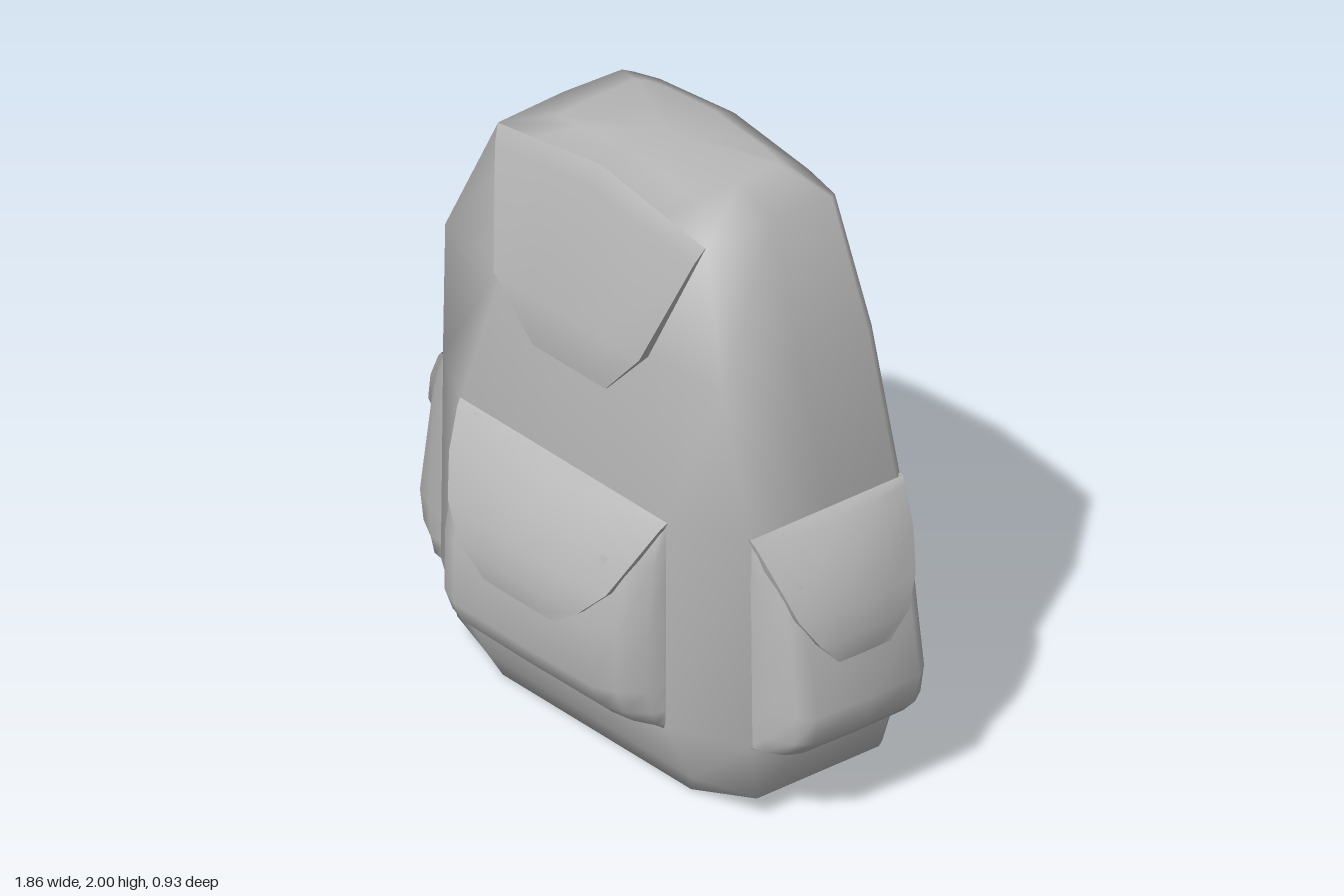
import * as THREE from 'three';

const fabric = new THREE.MeshStandardMaterial({ color: 0xb8b8b8, side: THREE.DoubleSide });
fabric.name = 'grey fabric';

// Smooth surface through rows of [x, y, z] points; rows run left to right, bottom to top
function surface(rows, { closed = false, caps = null } = {}) {
  const n = rows[0].length;
  const pos = rows.flat(2);
  const idx = [];
  for (let i = 0; i < rows.length - 1; i++) {
    for (let j = 0; j < (closed ? n : n - 1); j++) {
      const a = i * n + j, b = i * n + (j + 1) % n;
      idx.push(a, b, b + n, a, b + n, a + n);
    }
  }
  if (caps) {
    const low = rows.length * n, high = low + 1, last = (rows.length - 1) * n;
    pos.push(...caps[0], ...caps[1]);
    for (let j = 0; j < n; j++) {
      const k = (j + 1) % n;
      idx.push(low, k, j, high, last + j, last + k);
    }
  }
  const geo = new THREE.BufferGeometry();
  geo.setAttribute('position', new THREE.Float32BufferAttribute(pos, 3));
  geo.setIndex(idx);
  geo.computeVertexNormals();
  return geo;
}

function part(name, geo) {
  const mesh = new THREE.Mesh(geo, fabric);
  mesh.name = name;
  return mesh;
}

// Body: one half of a ring runs front centre -> side -> back centre
const mirrorRing = (half) => [
  ...half,
  ...half.slice(1, -1).reverse().map(([x, y, z]) => [-x, y, z]),
];

function ring(y, xf, zf, xs, zs, zb, inset) {
  return mirrorRing([
    [0, y, zf], [xf, y, zf], [xs, y, zs], [xs, y, (zs + zb) / 2],
    [xs, y, zb + 0.03], [xs - 0.02, y, zb], [xs - inset, y, zb], [0, y, zb],
  ]);
}

function body() {
  const rows = [
    ring(0, 0.44, 0.14, 0.48, 0.11, -0.4, 0.08),
    ring(0.07, 0.48, 0.17, 0.7, 0.1, -0.41, 0.16),
    ring(0.28, 0.48, 0.27, 0.73, 0.14, -0.46, 0.16),
    ring(1.0, 0.48, 0.27, 0.72, 0.14, -0.46, 0.16),
    ring(1.5, 0.34, 0.225, 0.65, 0.19, -0.41, 0.14),
    // arched top edge
    mirrorRing([
      [0, 1.98, 0.12], [0.3, 1.935, 0.12], [0.485, 1.905, 0.12], [0.49, 1.91, -0.14],
      [0.49, 1.9, -0.37], [0.47, 1.89, -0.4], [0.35, 1.92, -0.4], [0, 1.96, -0.4],
    ]),
    mirrorRing([
      [0, 1.99, 0.02], [0.22, 1.975, 0.02], [0.33, 1.965, 0.02], [0.33, 1.97, -0.14],
      [0.33, 1.97, -0.29], [0.3, 1.965, -0.32], [0.22, 1.98, -0.32], [0, 2, -0.32],
    ]),
  ];
  return part('body', surface(rows, { closed: true, caps: [[0, 0, -0.13], [0, 2, -0.14]] }));
}

// Pocket: bevelled bulge; depths lists [height, depth], place maps (across, up, out) to space
function pocket(name, depths, place) {
  const across = [[0.48, 0], [0.465, 0.35], [0.4, 0.78], [0.32, 0.97], [0, 1]];
  const columns = [
    ...across.map(([u, p]) => [-u, p]),
    ...across.slice(0, -1).reverse(),
  ];
  const rows = depths.map(([v, d]) => columns.map(([u, p]) => place(u, v, d * p - (p ? 0 : 0.01))));
  return part(name, surface(rows));
}

// Flap: rows of [centre height, edge height, half width, centre depth, edge depth], bottom first
function flap(name, list, place, thickness = 0.05) {
  const group = new THREE.Group();
  group.name = name;
  const mix = THREE.MathUtils.lerp;
  const points = list.map(([vc, ve, h, wc, we]) => [-1, -0.5, 0, 0.5, 1].map((t) => {
    return [t * h, mix(vc, ve, Math.abs(t)), mix(wc, we, t * t)];
  }));
  group.add(part('flapFace', surface(points.map((r) => r.map((p) => place(...p))))));
  // rim follows the left edge down, the bottom, then the right edge up
  const edge = [
    ...points.slice(1).reverse().map((r) => r[0]),
    ...points[0],
    ...points.slice(1).map((r) => r[4]),
  ];
  const back = edge.map(([u, v, w]) => place(u, v, w - thickness));
  group.add(part('flapRim', surface([back, edge.map((p) => place(...p))])));
  return group;
}

export function createModel() {
  const model = new THREE.Group();
  model.name = 'backpack';
  model.add(body());

  // Lid flap hanging over the front
  model.add(flap('lidFlap', [
    [1.32, 1.32, 0.17, 0.25, 0.25],
    [1.5, 1.5, 0.34, 0.265, 0.26],
    [1.92, 1.85, 0.465, 0.165, 0.15],
    [1.98, 1.905, 0.485, 0.125, 0.122],
  ], (u, v, w) => [u, v, w]));

  const pocketFlap = [
    [0.58, 0.58, 0.16, 0.182, 0.18],
    [0.66, 0.66, 0.28, 0.195, 0.18],
    [0.75, 0.75, 0.37, 0.175, 0.145],
    [0.87, 0.87, 0.43, 0.135, 0.09],
    [0.98, 0.98, 0.475, 0.05, 0.02],
    [1.0, 1.0, 0.485, 0.005, 0.0],
  ];
  const top = [[0.62, 0.168], [0.85, 0.12], [0.98, 0.03], [1.0, 0]];
  const frontDepths = [[0.275, 0], [0.295, 0.08], [0.34, 0.13], [0.42, 0.17], ...top];
  const sideDepths = [[0.27, 0], [0.275, 0.13], [0.33, 0.185], [0.43, 0.207], ...top];

  // Front pocket and the mirrored pair of side pockets
  const places = [
    ['front', frontDepths, (u, v, w) => [u, v, 0.27 + w]],
    ['left', sideDepths, (u, v, w) => [0.722 + w, v, -0.155 - u * 0.62]],
    ['right', sideDepths, (u, v, w) => [-0.722 - w, v, -0.155 + u * 0.62]],
  ];
  for (const [side, depths, place] of places) {
    model.add(pocket(side + 'Pocket', depths, place));
    model.add(flap(side + 'PocketFlap', pocketFlap, place));
  }
  return model;
}
